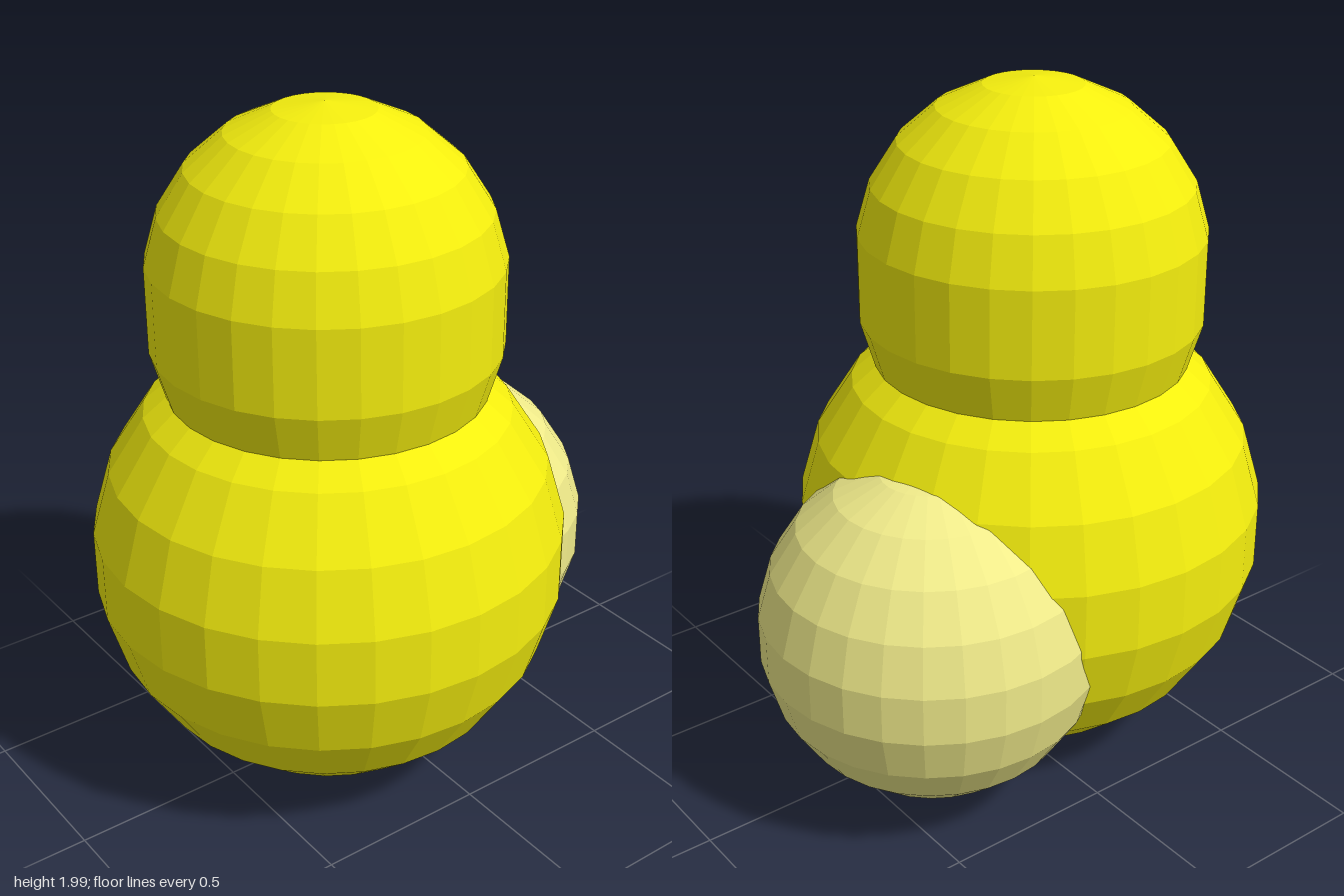
import * as THREE from 'three';

const RINGS = 11;
const SIDES = 28;

// Faceted ball, optionally stretched around its middle by a straight band
function ball(name, radius, material, stretch = 0) {
  const profile = [];
  for (let i = 0; i <= RINGS; i++) {
    const a = (Math.PI * i) / RINGS; // from bottom pole to top pole
    const r = i === 0 || i === RINGS ? 0 : radius * Math.sin(a);
    const shift = i < RINGS / 2 ? -stretch : 0;
    profile.push(new THREE.Vector2(r, -radius * Math.cos(a) + shift));
  }
  const mesh = new THREE.Mesh(new THREE.LatheGeometry(profile, SIDES), material);
  mesh.name = name;
  return mesh;
}

export function createModel() {
  const group = new THREE.Group();
  group.name = 'figure';

  const yellow = new THREE.MeshStandardMaterial({ color: 0xf4ee0e, flatShading: true });
  const cream = new THREE.MeshStandardMaterial({ color: 0xf0eb8a, flatShading: true });

  // Large round body
  const body = ball('body', 0.682, yellow);
  body.position.set(0, 0.69, 0.137);

  // Head: a smaller ball with a lengthened middle, sunk into the body
  const head = ball('head', 0.493, yellow, 0.107);
  head.position.set(0, 1.507, 0.137);

  // Pale ball set into the back, to one side
  const tail = ball('tail', 0.493, cream);
  tail.position.set(-0.145, 0.545, -0.324);

  group.add(body, head, tail);
  return group;
}
